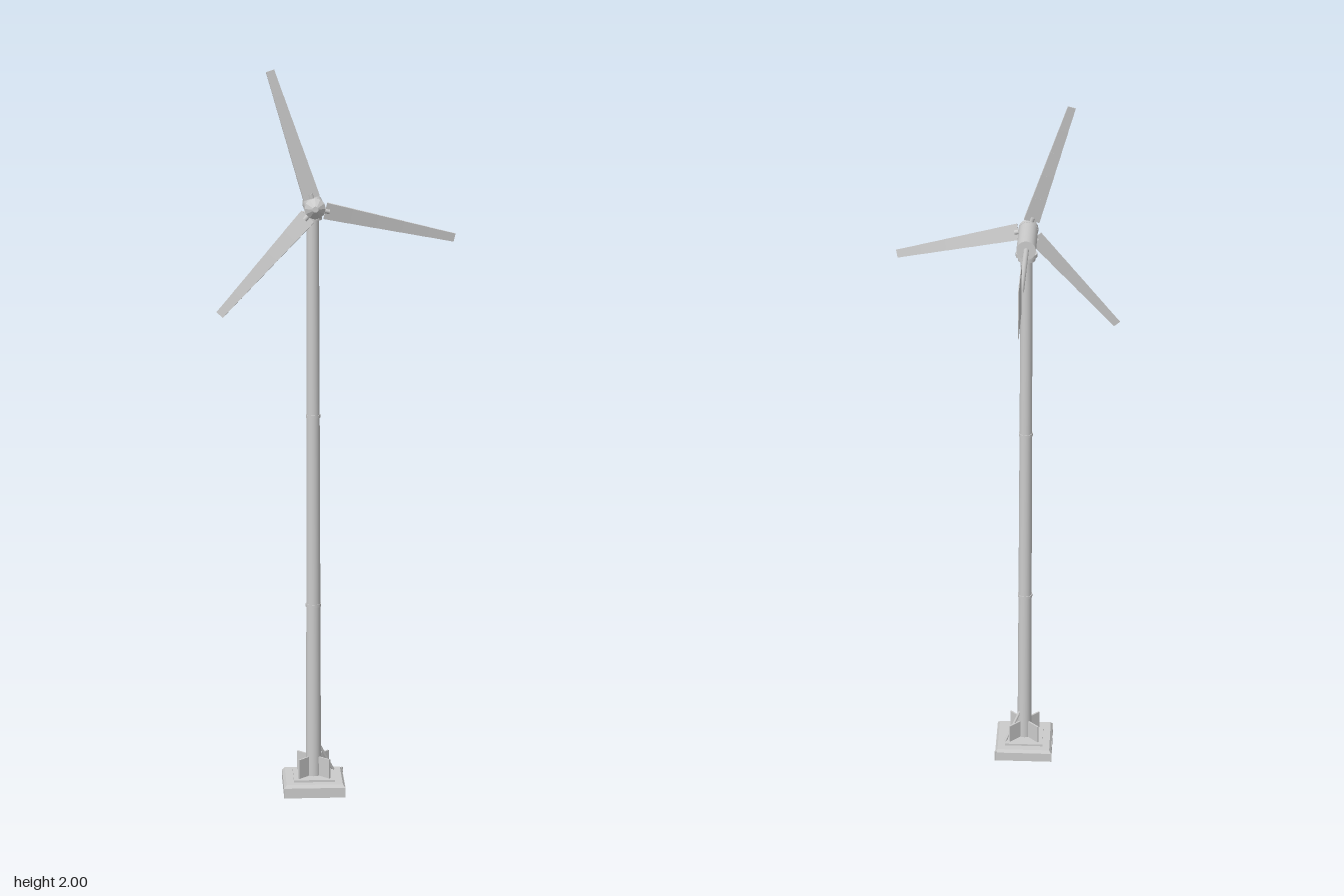
import * as THREE from 'three';

const CX = -0.057, CZ = 0.189;   // tower axis
const HUB_Y = 1.637;             // rotor axis height

export function createModel() {
  const model = new THREE.Group();
  model.name = 'windTurbine';
  const smooth = new THREE.MeshStandardMaterial({ color: 0xcccccc });
  const flat = new THREE.MeshStandardMaterial({ color: 0xcccccc, flatShading: true });

  function add(name, geometry, x, y, z, material = flat, parent = model) {
    const mesh = new THREE.Mesh(geometry, material);
    mesh.name = name;
    mesh.position.set(x, y, z);
    parent.add(mesh);
    return mesh;
  }

  // Cylinder running between two points
  function rod(name, a, b, rA, rB = rA, sides = 16, material = smooth) {
    const from = new THREE.Vector3(...a), to = new THREE.Vector3(...b);
    const dir = to.clone().sub(from);
    const mid = from.clone().add(to).multiplyScalar(0.5);
    const mesh = add(name, new THREE.CylinderGeometry(rB, rA, dir.length(), sides), mid.x, mid.y, mid.z, material);
    mesh.quaternion.setFromUnitVectors(new THREE.Vector3(0, 1, 0), dir.normalize());
    return mesh;
  }

  // Box whose far end can be narrower, running along +x from 0
  function taperedBox(length, w0, w1, thickness) {
    const g = new THREE.BoxGeometry(length, w0, thickness);
    g.translate(length / 2, 0, 0);
    const p = g.attributes.position;
    for (let i = 0; i < p.count; i++) if (p.getX(i) > 0) p.setY(i, p.getY(i) * w1 / w0);
    g.computeVertexNormals();
    return g;
  }

  // Stepped foundation
  add('foundationSlab', new THREE.BoxGeometry(0.17, 0.028, 0.17), CX, 0.014, CZ - 0.002);
  const bevel = new THREE.CylinderGeometry(0.156 / Math.SQRT2, 0.168 / Math.SQRT2, 0.008, 4);
  bevel.rotateY(Math.PI / 4);
  add('foundationBevel', bevel, CX, 0.032, CZ - 0.002);
  add('basePlate', new THREE.BoxGeometry(0.113, 0.006, 0.113), CX, 0.039, CZ - 0.002);

  // Crossed gusset plates
  for (const s of [-1, 1]) {
    const fin = add('baseGusset', new THREE.BoxGeometry(0.122, 0.055, 0.005), CX, 0.069, CZ - 0.002);
    fin.rotation.y = s * Math.PI / 4;
  }

  // Conduit leaning on the tower foot, and a pin at the slab corner
  rod('conduit', [0, 0.04, 0.146], [CX + 0.012, 0.132, CZ - 0.01], 0.004, 0.004, 8);
  rod('cornerPin', [0.027, 0, 0.103], [0.027, 0.032, 0.103], 0.003, 0.003, 8);

  // Tower in three tapering sections with joint rings
  const joints = [0.04, 0.53, 1.06, 1.6], radii = [0.021, 0.0195, 0.018, 0.0165];
  for (let i = 0; i < 3; i++) {
    rod('towerSection', [CX, joints[i], CZ], [CX, joints[i + 1], CZ], radii[i], radii[i + 1], 20);
    if (i > 0) rod('towerJoint', [CX, joints[i] - 0.004, CZ], [CX, joints[i] + 0.004, CZ], radii[i] + 0.002, radii[i] + 0.002, 20);
  }
  rod('yawCollar', [CX, 1.595, CZ], [CX, 1.613, CZ], 0.024, 0.024, 20);
  rod('yawFlange', [CX, 1.607, CZ], [CX, 1.617, CZ], 0.03, 0.03, 20);

  // Nacelle and nose
  rod('nacelle', [CX, HUB_Y, 0.155], [CX, HUB_Y, 0.3], 0.027, 0.027, 24);
  rod('hub', [CX, HUB_Y, 0.298], [CX, HUB_Y, 0.317], 0.028, 0.028, 16);
  rod('noseCone', [CX, HUB_Y, 0.317], [CX, HUB_Y, 0.338], 0.028, 0.008, 12, flat);

  // Tail boom and vane
  rod('tailBoom', [CX, HUB_Y, 0.157], [CX, HUB_Y + 0.019, -0.182], 0.0075, 0.0075, 12);
  add('tailVane', new THREE.BoxGeometry(0.002, 0.133, 0.178), CX, 1.66, -0.249);

  // Three blades, each of five overlapping stepped panels with washed-out twist
  const rotor = new THREE.Group();
  rotor.name = 'rotor';
  rotor.position.set(CX, HUB_Y, 0.308);
  model.add(rotor);
  for (let b = 0; b < 3; b++) {
    const blade = new THREE.Group();
    blade.name = 'blade';
    blade.rotation.z = THREE.MathUtils.degToRad(108 + b * 120);
    rotor.add(blade);
    rod('bladeRoot', [0, 0, 0], [0.04, 0, 0], 0.007, 0.007, 10);
    blade.add(model.children[model.children.length - 1]);
    for (let i = 0; i < 5; i++) {
      const w = 0.046 - i * 0.0048;
      const panel = add('bladePanel', taperedBox(0.07, w, w - 0.004, 0.005 - i * 0.0004), 0.028 + i * 0.07, 0, 0, flat, blade);
      panel.rotation.x = 0.26 - i * 0.015;
    }
  }
  return model;
}
